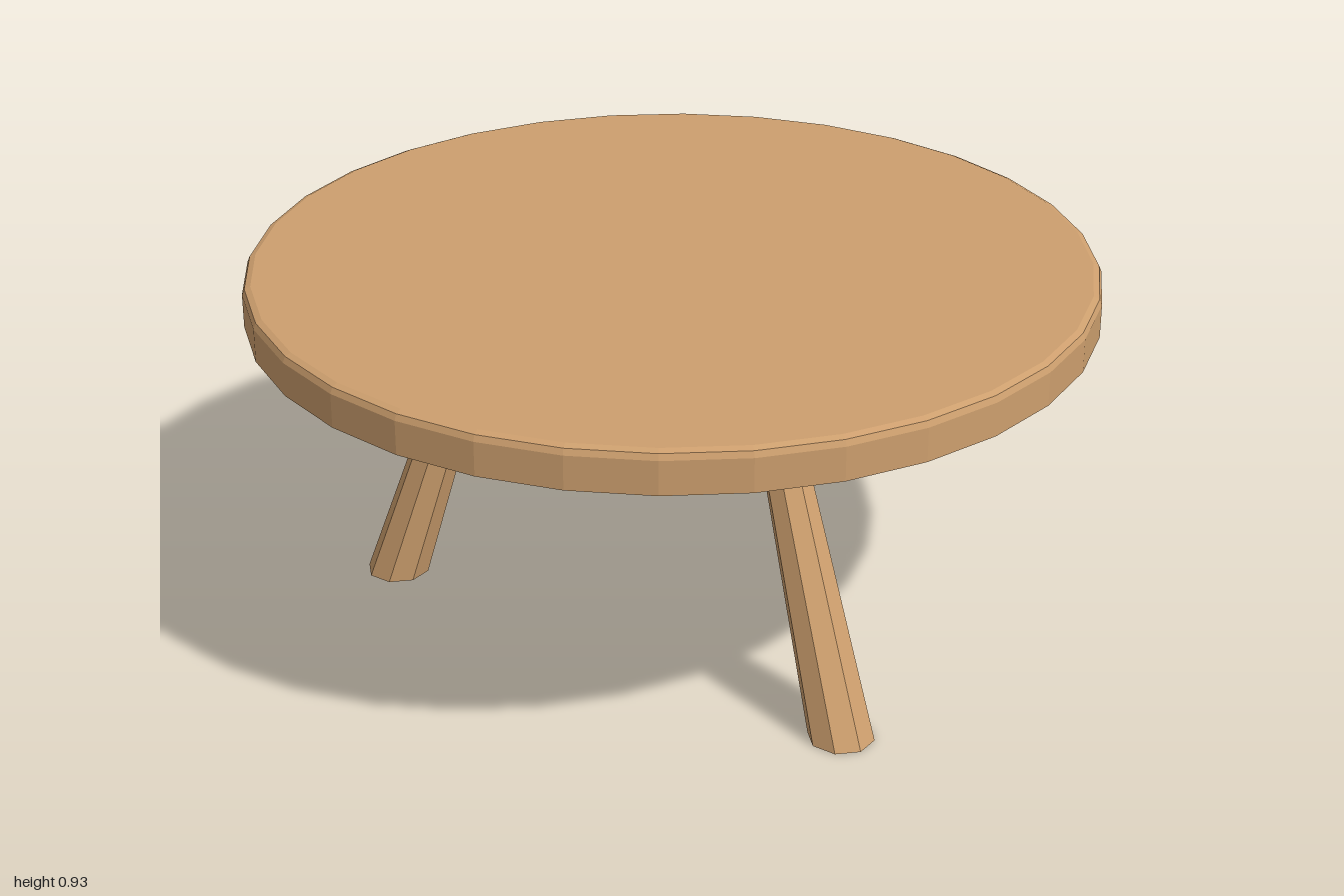
import * as THREE from 'three';

const wood = new THREE.MeshStandardMaterial({ color: 0xcd9f6e });
wood.name = 'lightWood';

const TABLE_BOTTOM = 0.825, TABLE_TOP = 0.925;

// Flat facets: each face gets its own normal
function faceted(geometry) {
  const g = geometry.toNonIndexed();
  g.computeVertexNormals();
  return g;
}

function addPart(group, name, geometry) {
  const mesh = new THREE.Mesh(faceted(geometry), wood);
  mesh.name = name;
  group.add(mesh);
}

// Tapered octagonal leg, sheared so both ends stay level
function legGeometry([footX, footZ], [headX, headZ]) {
  const g = new THREE.CylinderGeometry(0.046, 0.078, TABLE_BOTTOM, 8);
  g.translate(0, TABLE_BOTTOM / 2, 0);
  const p = g.attributes.position;
  for (let i = 0; i < p.count; i++) {
    const t = p.getY(i) / TABLE_BOTTOM;
    p.setX(i, p.getX(i) + THREE.MathUtils.lerp(footX, headX, t));
    p.setZ(i, p.getZ(i) + THREE.MathUtils.lerp(footZ, headZ, t));
  }
  return g;
}

export function createModel() {
  const table = new THREE.Group();
  table.name = 'roundTable';

  // Round top with a softened upper rim
  const profile = [
    [0, TABLE_BOTTOM], [1, TABLE_BOTTOM], [1, 0.905],
    [0.994, 0.919], [0.98, TABLE_TOP], [0, TABLE_TOP],
  ].map(([x, y]) => new THREE.Vector2(x, y));
  addPart(table, 'tabletop', new THREE.LatheGeometry(profile, 32));

  // Three splayed legs: one in front, two behind
  addPart(table, 'frontLeg', legGeometry([0, 0.725], [0, 0.385]));
  addPart(table, 'backLeftLeg', legGeometry([0.493, -0.518], [0.287, -0.345]));
  addPart(table, 'backRightLeg', legGeometry([-0.497, -0.518], [-0.293, -0.345]));

  return table;
}
